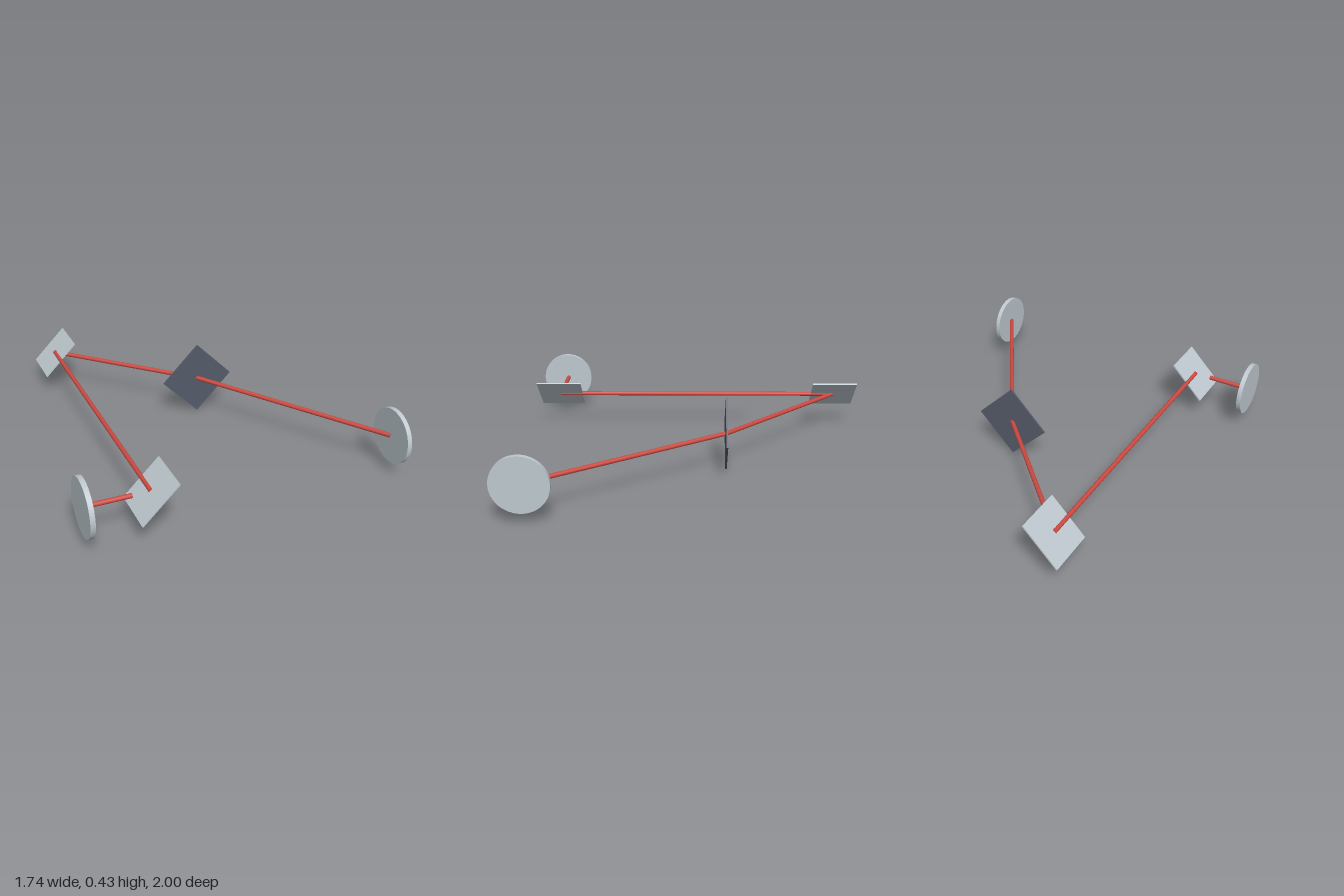
import * as THREE from 'three';

export function createModel() {
  const model = new THREE.Group();
  const silver = new THREE.MeshStandardMaterial({ name: 'silver', color: 0xbec9cf });
  const slate = new THREE.MeshStandardMaterial({ name: 'slate', color: 0x555b69 });
  const red = new THREE.MeshStandardMaterial({ name: 'beam red', color: 0xcc4a42 });

  const Y = 0.222; // height of the beam path
  const add = (name, geometry, material, x, y, z) => {
    const mesh = new THREE.Mesh(geometry, material);
    mesh.name = name;
    mesh.position.set(x, y, z);
    model.add(mesh);
    return mesh;
  };

  // Round end discs facing sideways
  const disc = new THREE.CylinderGeometry(0.153, 0.153, 0.026, 64).rotateZ(Math.PI / 2);
  add('leftDisc', disc, silver, 0.857, Y, 0.847);
  add('rightDisc', disc, silver, -0.857, Y, 0.847);

  // Thin square mirrors tilted 45 degrees
  const mirror = new THREE.BoxGeometry(0.27, 0.008, 0.27).rotateZ(Math.PI / 4);
  add('frontMirror', mirror, silver, -0.517, Y, 0.845);
  add('backMirror', mirror, silver, -0.517, Y, -0.865);

  // Upright dark plate standing on its corner
  const plate = new THREE.BoxGeometry(0.305, 0.305, 0.01).rotateZ(Math.PI / 4);
  add('diamondPlate', plate, slate, 0.17, Y, -0.18);

  // Beam rods between points [x, z] at path height
  const beam = (name, a, b) => {
    const start = new THREE.Vector3(a[0], Y, a[1]);
    const dir = new THREE.Vector3(b[0], Y, b[1]).sub(start);
    const length = dir.length();
    const mid = start.clone().addScaledVector(dir, 0.5);
    const rod = add(name, new THREE.CylinderGeometry(0.0125, 0.0125, length, 20), red, mid.x, mid.y, mid.z);
    rod.quaternion.setFromUnitVectors(new THREE.Vector3(0, 1, 0), dir.normalize());
  };
  beam('entryBeam', [-0.855, 0.845], [-0.615, 0.845]);
  beam('longBeam', [-0.517, 0.845], [-0.517, -0.865]);
  beam('backBeam', [-0.517, -0.865], [0.17, -0.18]);
  beam('exitBeam', [0.17, -0.18], [0.845, 0.845]);

  return model;
}
